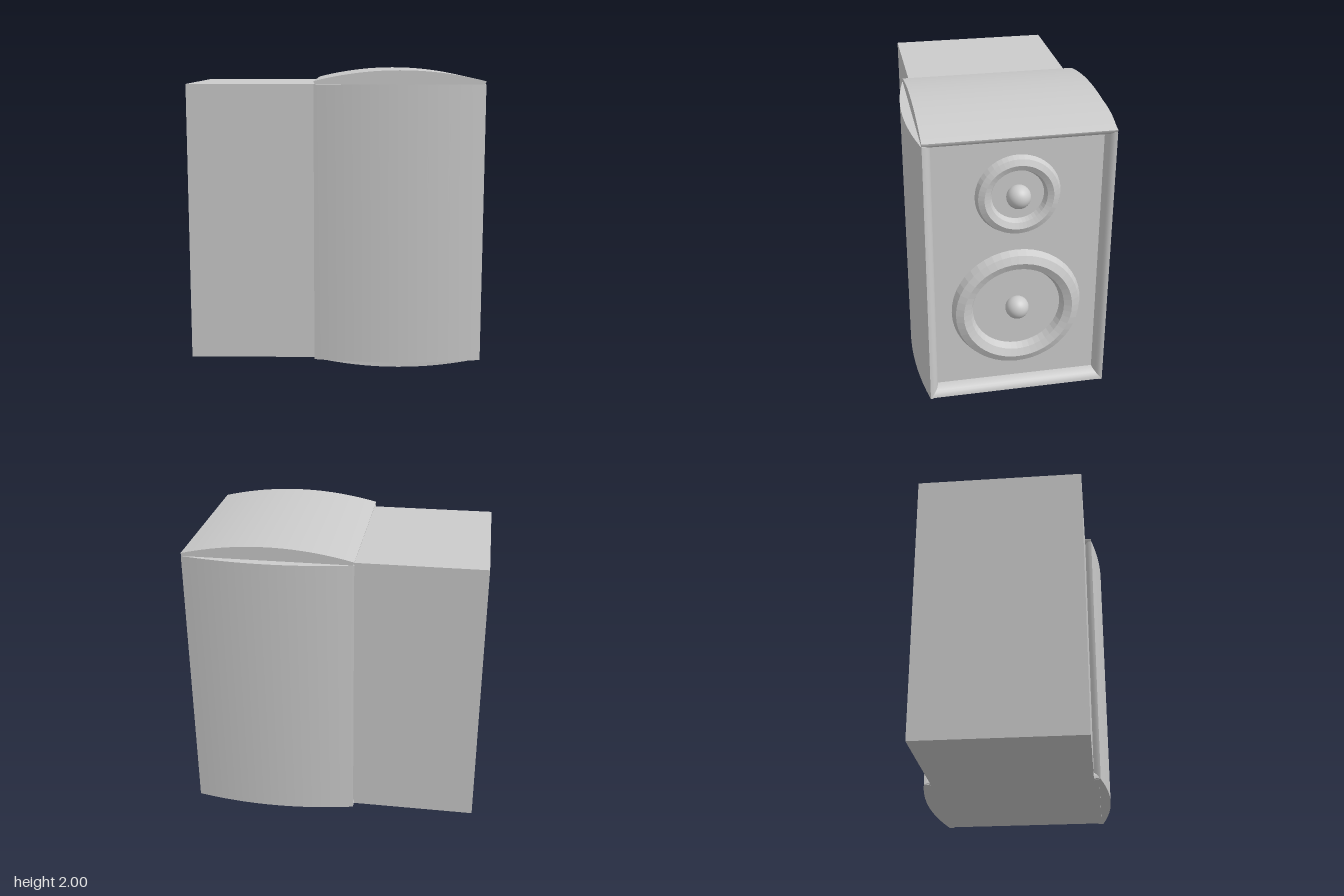
import * as THREE from 'three';
import { toCreasedNormals } from 'three/addons/utils/BufferGeometryUtils.js';

const material = new THREE.MeshStandardMaterial({ color: 0xcccccc });
const flat = new THREE.MeshStandardMaterial({ color: 0xcccccc, flatShading: true });
const BACK = -0.15, FRONT = 0.97, MID = (BACK + FRONT) / 2, FACE = 0.89;

// Bowed panel: shallow arc outside, rounded lips inside; outward is +y, length runs along z
function bowedPanel(length, outer, inner) {
  const half = FRONT - MID;
  const shape = new THREE.Shape();
  const steps = 24;
  for (let i = 0; i <= steps; i++) {
    const t = 1 - (2 * i) / steps;
    const x = MID + t * half, y = outer * (1 - t * t);
    if (i === 0) shape.moveTo(x, y); else shape.lineTo(x, y);
  }
  const lip = FRONT - FACE;
  const curve = 6;
  for (let i = 1; i <= curve; i++) {
    const a = (i / curve) * Math.PI / 2;
    shape.lineTo(BACK + lip * (1 - Math.cos(a)), -inner * Math.sin(a));
  }
  for (let i = curve; i >= 1; i--) {
    const a = (i / curve) * Math.PI / 2;
    shape.lineTo(FRONT - lip * (1 - Math.cos(a)), -inner * Math.sin(a));
  }
  const geometry = new THREE.ExtrudeGeometry(shape, { depth: length, bevelEnabled: false });
  geometry.translate(0, 0, -length / 2);
  return toCreasedNormals(geometry, 0.5);
}

export function createModel() {
  const model = new THREE.Group();
  model.name = 'loudspeaker';

  function add(name, geometry, x, y, z, mat = material) {
    const mesh = new THREE.Mesh(geometry, mat);
    mesh.name = name;
    mesh.position.set(x, y, z);
    model.add(mesh);
    return mesh;
  }

  // Cabinet, with its front end forming the recessed baffle
  add('cabinet', new THREE.BoxGeometry(FACE + 0.99, 1.855, 1.1), (FACE - 0.99) / 2, 0.9825, 0);

  // Four bowed panels wrapping the front half
  add('topPanel', bowedPanel(1.19, 0.07, 0.045), 0, 1.93, 0);
  add('bottomPanel', bowedPanel(1.17, 0.062, 0.063), 0, 0.062, 0).rotation.x = Math.PI;
  for (const [name, side] of [['frontPanel', 1], ['rearPanel', -1]]) {
    add(name, bowedPanel(1.855, 0.062, 0.058), 0, 0.9825, side * 0.595).rotation.x = side * Math.PI / 2;
  }

  // Drivers: faceted surround ring and a domed centre
  function driver(name, y, radius, tube, domeY) {
    add(name + 'Ring', new THREE.TorusGeometry(radius, tube, 8, 48), FACE, y, 0, flat).rotation.y = Math.PI / 2;
    add(name + 'Dome', new THREE.SphereGeometry(0.077, 32, 24), 0.913, domeY, 0);
  }
  driver('woofer', 0.685, 0.36, 0.07, 0.69);
  driver('tweeter', 1.51, 0.219, 0.053, 1.505);

  return model;
}
